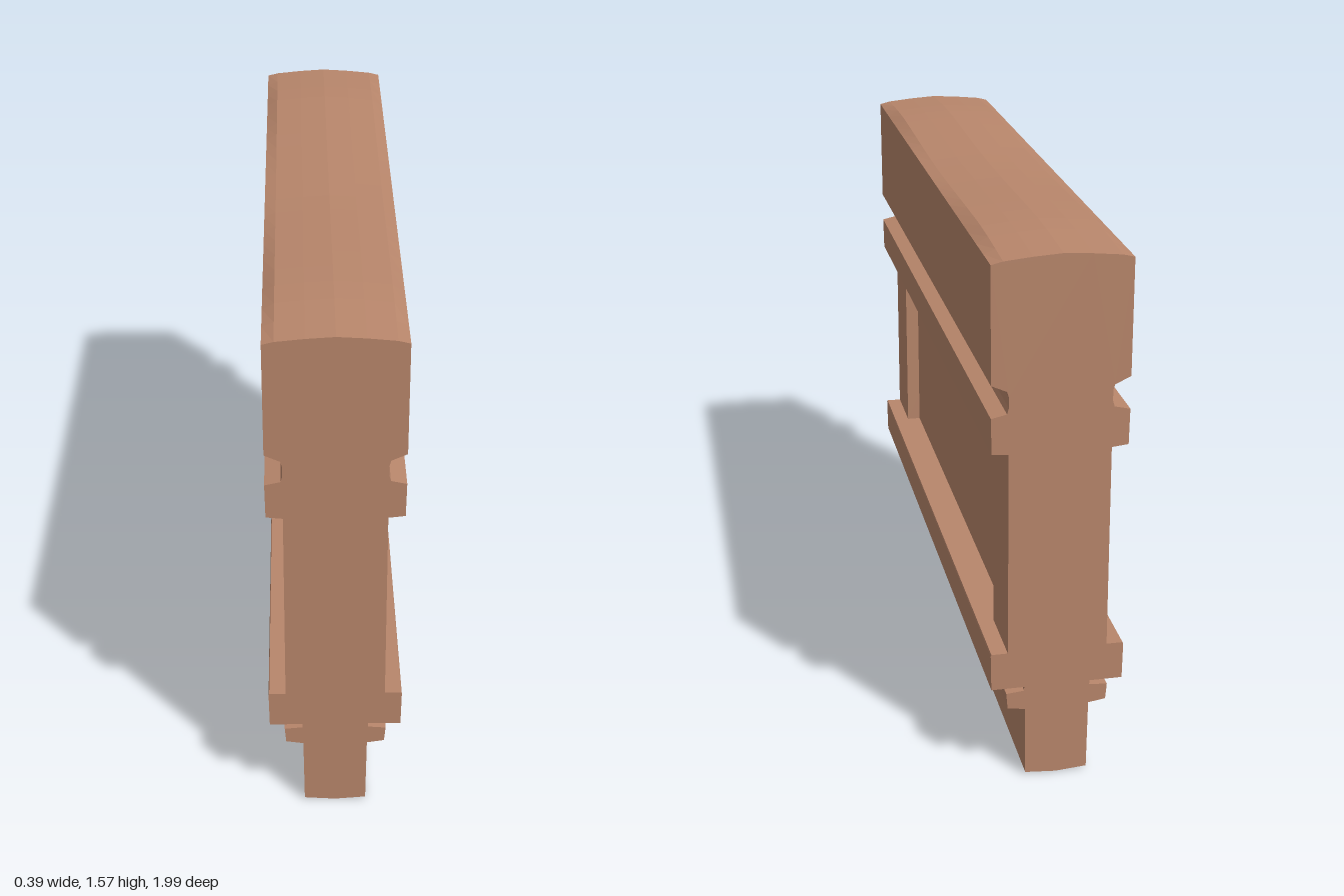
import * as THREE from 'three';

const wood = new THREE.MeshStandardMaterial({ color: 0xb8866b });
wood.name = 'warm brown';

const HALF_LENGTH = 0.997;

// Mirrors a half profile [x, y] listed bottom to top and extrudes it along z
function moulding(name, half, steps = 1) {
  const left = half.filter(([x]) => x > 0).map(([x, y]) => [-x, y]).reverse();
  const shape = new THREE.Shape([...half, ...left].map(([x, y]) => new THREE.Vector2(x, y)));
  const geometry = new THREE.ExtrudeGeometry(shape, { depth: HALF_LENGTH * 2, steps, bevelEnabled: false });
  geometry.translate(0, 0, -HALF_LENGTH);
  const mesh = new THREE.Mesh(geometry, wood);
  mesh.name = name;
  return mesh;
}

function box(name, width, y0, y1, z0, z1) {
  const mesh = new THREE.Mesh(new THREE.BoxGeometry(width, y1 - y0, z1 - z0), wood);
  mesh.name = name;
  mesh.position.set(0, (y0 + y1) / 2, (z0 + z1) / 2);
  return mesh;
}

export function createModel() {
  const model = new THREE.Group();
  model.name = 'panelledWall';

  // Plinth, thin ledge, narrow neck and lower rail
  model.add(moulding('base', [
    [0, 0.003], [0.09, 0.01], [0.093, 0.22], [0.143, 0.228], [0.147, 0.275], [0.095, 0.28],
    [0.095, 0.292], [0.19, 0.292], [0.192, 0.4], [0.19, 0.405], [0.15, 0.405], [0.142, 0.42],
  ].slice(0, -1)));

  // Upper rail, coved groove and crowned coping
  const coping = moulding('coping', [
    [0.145, 1.01], [0.19, 1.015], [0.192, 1.118], [0.148, 1.128], [0.143, 1.145], [0.143, 1.175],
    [0.148, 1.192], [0.192, 1.212], [0.193, 1.545], [0.16, 1.565], [0.08, 1.573], [0, 1.578],
  ], 20);
  // Gentle sag along the crown
  const position = coping.geometry.attributes.position;
  for (let i = 0; i < position.count; i++) {
    const y = position.getY(i);
    if (y < 1.55) continue;
    const z = Math.abs(position.getZ(i));
    const drop = z < 0.75 ? 0.012 * (0.5 + 0.5 * Math.cos((z / 0.75) * Math.PI)) : 0.012 * (z - 0.75) / 0.25;
    position.setY(i, y - drop);
  }
  coping.geometry.computeVertexNormals();
  model.add(coping);

  // End posts framing the recessed panel
  for (const side of [1, -1]) {
    const ends = [side * 0.795, side * HALF_LENGTH].sort((a, b) => a - b);
    model.add(box(side > 0 ? 'frontPost' : 'backPost', 0.286, 0.405, 1.012, ...ends));
  }
  model.add(box('recessedPanel', 0.2, 0.405, 1.012, -0.795, 0.795));

  return model;
}
